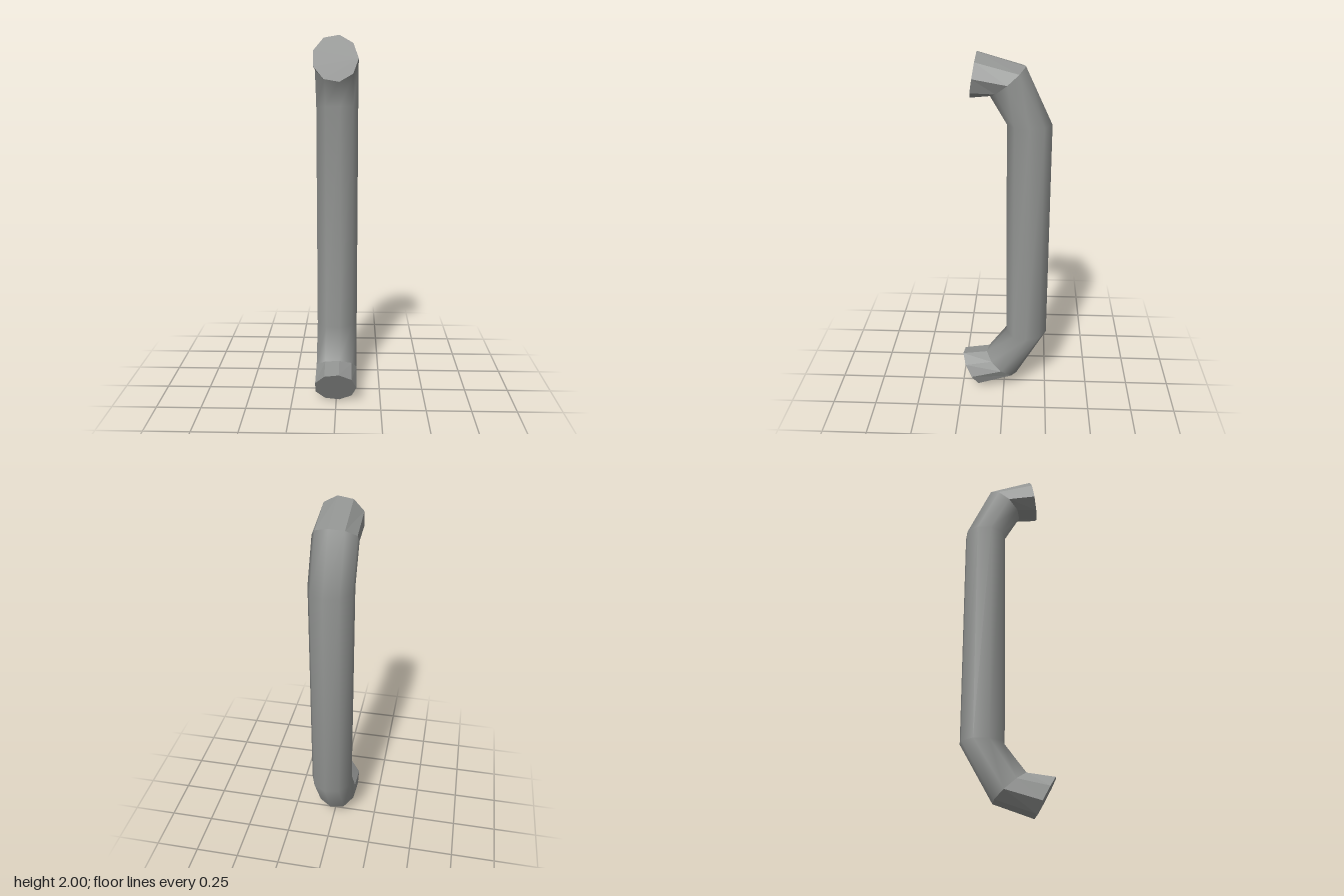
import * as THREE from 'three';

const SIDES = 9, RADIUS = 0.1186, SHIFT = -0.0036;

// Ring stations from top end to bottom end: [outer z, outer y, inner z, inner y]
const STATIONS = [
  [0.135, 2.0, 0.174, 1.777],
  [-0.109, 1.931, 0.07, 1.783],
  [-0.248, 1.638, -0.015, 1.638],
  [-0.248, 0.378, -0.015, 0.378],
  [-0.075, 0.074, 0.103, 0.222],
  [0.134, 0.002, 0.246, 0.202],
];

// Nine-sided circular ring lying across the bar at one station
function ring([oz, oy, iz, iy]) {
  const centre = new THREE.Vector3(SHIFT, (oy + iy) / 2, (oz + iz) / 2);
  const out = new THREE.Vector3(0, oy - iy, oz - iz).normalize();
  return Array.from({ length: SIDES }, (_, i) => {
    const a = (i / SIDES) * Math.PI * 2;
    const p = centre.clone().addScaledVector(out, RADIUS * Math.sin(a));
    p.x += RADIUS * Math.cos(a);
    return p;
  });
}

// Tube skin joining consecutive rings, faceted or smooth
function skin(rings, flat) {
  const index = [];
  for (let k = 0; k < rings.length - 1; k++) {
    for (let i = 0; i < SIDES; i++) {
      const j = (i + 1) % SIDES;
      const a = k * SIDES + i, b = k * SIDES + j;
      index.push(a, a + SIDES, b, b, a + SIDES, b + SIDES);
    }
  }
  let g = new THREE.BufferGeometry().setFromPoints(rings.flat());
  g.setIndex(index);
  if (flat) g = g.toNonIndexed();
  g.computeVertexNormals();
  return g;
}

// Flat end face
function cap(points) {
  const index = [];
  for (let i = 1; i < SIDES - 1; i++) index.push(0, i, i + 1);
  const g = new THREE.BufferGeometry().setFromPoints(points);
  g.setIndex(index);
  g.computeVertexNormals();
  return g;
}

export function createModel() {
  const group = new THREE.Group();
  group.name = 'barHandle';
  const metal = new THREE.MeshStandardMaterial({ color: 0x929492 });
  metal.name = 'grey metal';
  const add = (name, geometry) => {
    const mesh = new THREE.Mesh(geometry, metal);
    mesh.name = name;
    group.add(mesh);
  };

  const rings = STATIONS.map(ring);
  // Smooth grip with its two bends
  add('grip', skin(rings.slice(1, 5), false));
  // Faceted mounting ends
  add('upperMount', skin(rings.slice(0, 2), true));
  add('lowerMount', skin(rings.slice(4, 6), true));
  // End faces
  add('upperEndFace', cap(rings[0]));
  add('lowerEndFace', cap([...rings[5]].reverse()));
  return group;
}
